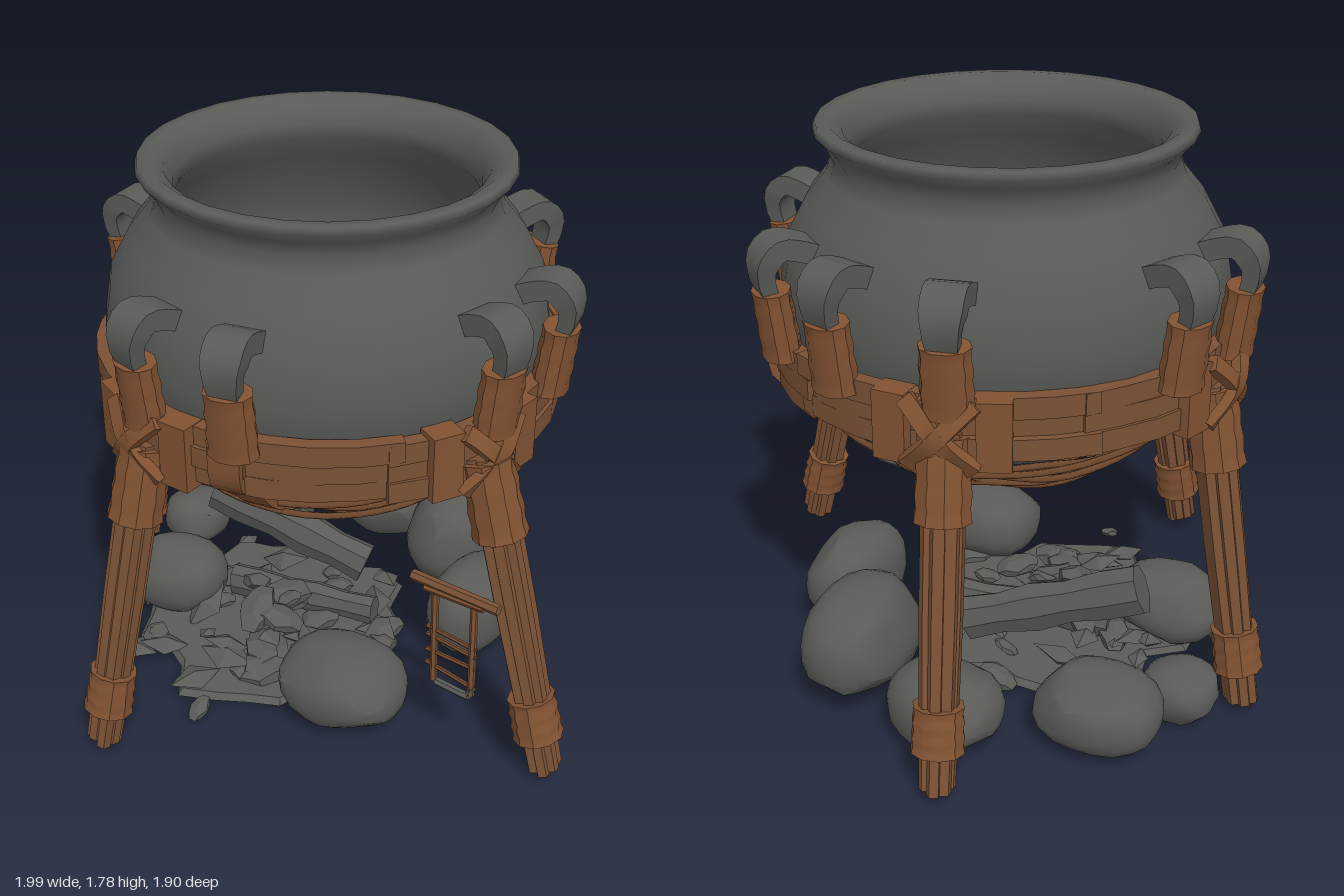
import * as THREE from 'three';
import { toCreasedNormals } from 'three/addons/utils/BufferGeometryUtils.js';

const V = (x, y, z) => new THREE.Vector3(x, y, z);
const paint = (name, color) => Object.assign(new THREE.MeshStandardMaterial({ color }), { name });

export function createModel() {
  const iron = paint('dark iron', 0x595b57);
  const stone = paint('grey stone', 0x5a5b57);
  const wood = paint('brown wood', 0x7a5135);
  const leather = paint('tan binding', 0x815232);
  const twig = paint('dark twig', 0x70482d);

  let seed = 7;
  const rnd = (a = 0, b = 1) => {
    seed = (seed * 16807) % 2147483647;
    return a + (b - a) * (seed / 2147483647);
  };

  const root = new THREE.Group();
  const group = (name) => {
    const g = new THREE.Group();
    g.name = name;
    root.add(g);
    return g;
  };
  const add = (parent, name, geo, mat, crease = 0.6) => {
    const mesh = new THREE.Mesh(crease ? toCreasedNormals(geo, crease) : geo, mat);
    mesh.name = name;
    parent.add(mesh);
    return mesh;
  };

  // Polar position around the pot's axis
  const CX = -0.05, CZ = -0.03;
  const polar = (a, r, y) => V(CX + r * Math.cos(a), y, CZ + r * Math.sin(a));
  const tangent = (a) => V(-Math.sin(a), 0, Math.cos(a));
  const angleOf = (x, z) => Math.atan2(z - CZ, x - CX);
  const spline = (pts) => new THREE.CatmullRomCurve3(pts);

  // Lays a unit-high geometry along a curve; its local z follows the side vector
  const bend = (geo, curve, side, t0 = 0, t1 = 1, scale = () => 1) => {
    const p = geo.attributes.position;
    for (let i = 0; i < p.count; i++) {
      const h = p.getY(i) + 0.5, t = t0 + (t1 - t0) * h, s = scale(h);
      const T = curve.getTangent(t);
      const U = T.clone().cross(side).normalize();
      const W = U.clone().cross(T);
      const q = curve.getPoint(t).addScaledVector(U, p.getX(i) * s).addScaledVector(W, p.getZ(i) * s);
      p.setXYZ(i, q.x, q.y, q.z);
    }
    geo.computeVertexNormals();
    return geo;
  };
  const strip = (thick, width, curve, side, segs = 8, scale = () => 1) =>
    bend(new THREE.BoxGeometry(thick, 1, width, 1, segs, 1), curve, side, 0, 1, scale);
  const coil = (rx, rz, curve, side, t0 = 0, t1 = 1) =>
    bend(new THREE.CylinderGeometry(1, 1, 1, 10, 6).scale(rx, 1, rz), curve, side, t0, t1,
      (h) => 1 + 0.03 * Math.cos(h * 19) - 0.06 * h);

  // Pot
  const pot = [[0, 0.7], [0.18, 0.715], [0.31, 0.76], [0.48, 0.86], [0.61, 1], [0.675, 1.15], [0.695, 1.28],
    [0.67, 1.42], [0.605, 1.54], [0.54, 1.62], [0.522, 1.67], [0.545, 1.72], [0.575, 1.752], [0.568, 1.775],
    [0.53, 1.777], [0.49, 1.75], [0.465, 1.7], [0.465, 1.65], [0.52, 1.57], [0.6, 1.42], [0.63, 1.28],
    [0.6, 1.12], [0.5, 0.95], [0.3, 0.82], [0, 0.78]].map(([r, y]) => new THREE.Vector2(r, y));
  add(root, 'pot', new THREE.LatheGeometry(pot, 28), iron, 0).position.set(CX, 0, CZ);

  // Flat iron hooks and the bindings hanging from them
  const hooks = group('hooks');
  [[0.67, -0.2], [0.67, 0.11], [-0.14, 0.68], [0.17, 0.67], [-0.78, -0.21], [-0.78, 0.1],
    [-0.33, -0.72], [0.03, -0.79], [0.32, -0.71]].forEach(([x, z]) => {
    const a = angleOf(x, z), side = tangent(a);
    const arch = spline([[0.6, 1.44], [0.67, 1.475], [0.74, 1.488], [0.785, 1.43], [0.757, 1.3]]
      .map(([r, y]) => polar(a, r, y)));
    const taper = (h) => 1.02 - 0.4 * Math.max(0, h - 0.65) / 0.35;
    add(hooks, 'hook', strip(0.062, 0.118, arch, side, 12, taper), iron, 0.7);
    const drop = new THREE.LineCurve3(polar(a, 0.735, 1.15), polar(a, 0.76, 1.36));
    add(hooks, 'hookBinding', coil(0.058, 0.078, drop, side), leather);
  });

  // Wooden band made of overlapping planks
  const band = group('band');
  const up = V(0, 1, 0);
  const planks = 10;
  for (let i = 0; i < planks; i++) {
    const a0 = (i / planks) * Math.PI * 2, dy = rnd(-0.008, 0.008);
    for (let k = 0; k < 3; k++) {
      const r = 0.705 + rnd(-0.006, 0.01);
      const arc = spline([-0.03, 0.22, 0.46, 0.67].map((d) => polar(a0 + d, r + rnd(-0.006, 0.006), 1.035 + k * 0.06 + dy)));
      add(band, 'plank', strip(0.045, 0.066, arc, up, 4), wood);
    }
  }

  // Legs: bundles of sticks with bindings, and lashings on the band
  const legs = group('legs');
  [[0.235, 0.735, 0.95, 0.14], [1.725, 0.725, -0.235, 0.9], [3.1, 0.705, -0.945, -0.015], [-1.93, 0.705, -0.405, -0.9]]
    .forEach(([a, r, fx, fz]) => {
      const side = tangent(a);
      const line = new THREE.LineCurve3(V(fx, 0.02, fz), polar(a, r, 1.08));
      for (let k = 0; k < 8; k++) {
        const b = (k / 7) * Math.PI * 2, o = k === 7 ? 0 : 0.04;
        const stick = new THREE.CylinderGeometry(0.029, 0.026, 1, 5, 6).translate(o * Math.cos(b), 0, o * Math.sin(b));
        add(legs, 'legStick', bend(stick, line, side, k === 7 ? 0 : rnd(0, 0.02), 1, (h) => 0.86 + 0.25 * Math.min(h, 0.5)), wood);
      }
      add(legs, 'footBinding', coil(0.076, 0.08, line, side, 0.12, 0.25), leather);
      add(legs, 'kneeBinding', coil(0.084, 0.084, line, side, 0.76, 0.99), leather);
      for (const s of [-1, 1]) {
        const cross = spline([polar(a - 0.13 * s, 0.758, 0.99), polar(a, 0.79, 1.09), polar(a + 0.13 * s, 0.758, 1.19)]);
        add(legs, 'crossLashing', strip(0.03, 0.05, cross, side), leather);
        const b = a + 0.2 * s;
        const loop = new THREE.LineCurve3(polar(b, 0.72, 0.985), polar(b, 0.72, 1.195));
        add(legs, 'bandLashing', strip(0.08, 0.1, loop, tangent(b), 2), leather);
      }
    });

  // Basket under the pot: broad straps over the band, thin ones tucked beneath it
  const basket = group('basket');
  [[1.3, 0.1], [0.1, 0.06], [-0.85, 0.1], [-1.9, 0.08], [3.0, 0.08], [2.2, 0.04]].forEach(([a, w]) => {
    const rib = spline([[0.745, 1.19], [0.73, 1.03], [0.645, 0.98], [0.51, 0.84], [0.33, 0.74], [0, 0.685]]
      .slice(w < 0.08 ? 2 : 0).map(([r, y]) => polar(a, r, y)));
    add(basket, 'strap', strip(0.025, w, rib, tangent(a), 16), leather);
  });
  // Woven twig rings
  [[0.56, 0.895], [0.5, 0.845], [0.46, 0.81], [0.42, 0.785], [0.37, 0.76], [0.31, 0.735], [0.22, 0.71]]
    .forEach(([r, y], i) => {
      const pts = [];
      for (let k = 0; k < 18; k++) pts.push(polar((k / 18) * Math.PI * 2, r + rnd(-0.005, 0.02),
        y + 0.025 * Math.sin((k / 9) * Math.PI + i * 2) + rnd(-0.01, 0.01)));
      const ring = new THREE.CatmullRomCurve3(pts, true);
      add(basket, 'twigRing', new THREE.TubeGeometry(ring, 54, 0.011, 5, true), twig, 0);
    });

  // Small hanging rack
  const rack = group('rack');
  const bar = (name, x0, y0, x1, y1, r, mat) => add(rack, name,
    bend(new THREE.CylinderGeometry(r, r, 1, 6, 3), new THREE.LineCurve3(V(x0, y0, 0.25), V(x1, y1, 0.25)), V(0, 0, 1)), mat);
  bar('rackBeam', 0.5, 0.635, 0.81, 0.645, 0.018, wood);
  bar('rackBeam', 0.55, 0.615, 0.76, 0.63, 0.017, leather);
  bar('rackRail', 0.59, 0.27, 0.585, 0.63, 0.012, wood);
  bar('rackRail', 0.73, 0.28, 0.725, 0.63, 0.012, wood);
  [[0.47, 0.46], [0.44, 0.43], [0.38, 0.385], [0.33, 0.31]].forEach(([l, r]) => bar('rung', 0.56, l, 0.74, r, 0.008, twig));
  bar('rackFoot', 0.6, 0.268, 0.72, 0.268, 0.013, stone);
  bar('rackFoot', 0.72, 0.268, 0.735, 0.31, 0.012, stone);

  // Boulders: rounded blocks cut by random planes
  const hearth = group('hearth');
  const rock = (x, y, z, sx, sy, sz, turn) => {
    const geo = new THREE.IcosahedronGeometry(1, 3), p = geo.attributes.position, v = V(0, 0, 0);
    const cuts = Array.from({ length: 7 }, () => [V(rnd(-1, 1), rnd(-1, 1), rnd(-1, 1)).normalize(), rnd(0.87, 1)]);
    for (let i = 0; i < p.count; i++) {
      v.fromBufferAttribute(p, i);
      v.divideScalar((Math.abs(v.x) ** 2.5 + Math.abs(v.y) ** 2.5 + Math.abs(v.z) ** 2.5) ** 0.4);
      for (const [n, d] of cuts) v.addScaledVector(n, -Math.max(0, v.dot(n) - d) * 0.8);
      p.setXYZ(i, v.x * sx, v.y * sy, v.z * sz);
    }
    const mesh = add(hearth, 'boulder', geo, stone, 0.6);
    mesh.position.set(x, y, z);
    mesh.rotation.y = turn;
  };
  [[0.28, 0.14, 0.31, 0.21, 0.135, 0.17, 0.15], [0.4, 0.165, -0.28, 0.13, 0.155, 0.2, 0],
    [0.11, 0.19, -0.6, 0.165, 0.18, 0.23, 0.2], [-0.27, 0.13, -0.67, 0.18, 0.13, 0.16, -0.2],
    [-0.65, 0.125, -0.41, 0.2, 0.12, 0.16, 0.2], [-0.8, 0.095, -0.16, 0.12, 0.095, 0.12, 0],
    [-0.56, 0.135, 0.2, 0.18, 0.13, 0.14, 0.3], [-0.73, 0.07, 0.29, 0.085, 0.07, 0.09, 0.3]]
    .forEach((r) => rock(...r));

  // Charred logs
  [[V(-0.6, 0.34, -0.07), V(-0.06, 0.13, -0.26), 0.085], [V(-0.42, 0.08, 0.05), V(0.1, 0.09, -0.1), 0.06]].forEach(([a, b, r]) => {
    const log = new THREE.CylinderGeometry(r * 0.9, r, 1, 8, 5).scale(0.8, 1, 1);
    add(hearth, 'charredLog', bend(log, new THREE.LineCurve3(a, b), up, 0, 1, (h) => 1 + 0.1 * Math.sin(h * 13)), stone, 0.3);
  });

  // Ash bed with a jagged rim, and scattered shards
  const ash = new THREE.CylinderGeometry(0.47, 0.49, 0.02, 26), ap = ash.attributes.position;
  for (let i = 0; i < ap.count; i++) {
    const a = Math.atan2(ap.getZ(i), ap.getX(i));
    const s = 0.92 + 0.08 * Math.sin(a * 5 + 1) + 0.08 * Math.sin(a * 9);
    ap.setXYZ(i, ap.getX(i) * s, ap.getY(i), ap.getZ(i) * s);
  }
  add(hearth, 'ashBed', ash, stone, 0.3).position.set(-0.2, 0.02, 0.08);
  for (let i = 0; i < 60; i++) {
    const a = rnd(0, 6.28), d = rnd(0.05, 0.55), s = rnd(0.03, 0.07);
    const shape = i % 2 ? new THREE.OctahedronGeometry(1, 0) : new THREE.DodecahedronGeometry(1, 0);
    const shard = add(hearth, 'shard', shape.scale(s * 1.5, s * 0.5, s), stone, 0.3);
    shard.position.set(-0.21 + d * Math.cos(a), 0.035 + Math.max(0, 0.4 - d) * rnd(0, 0.35), 0.1 + d * Math.sin(a));
    shard.rotation.set(rnd(-0.35, 0.35), rnd(0, 6), rnd(-0.35, 0.35));
  }
  return root;
}
